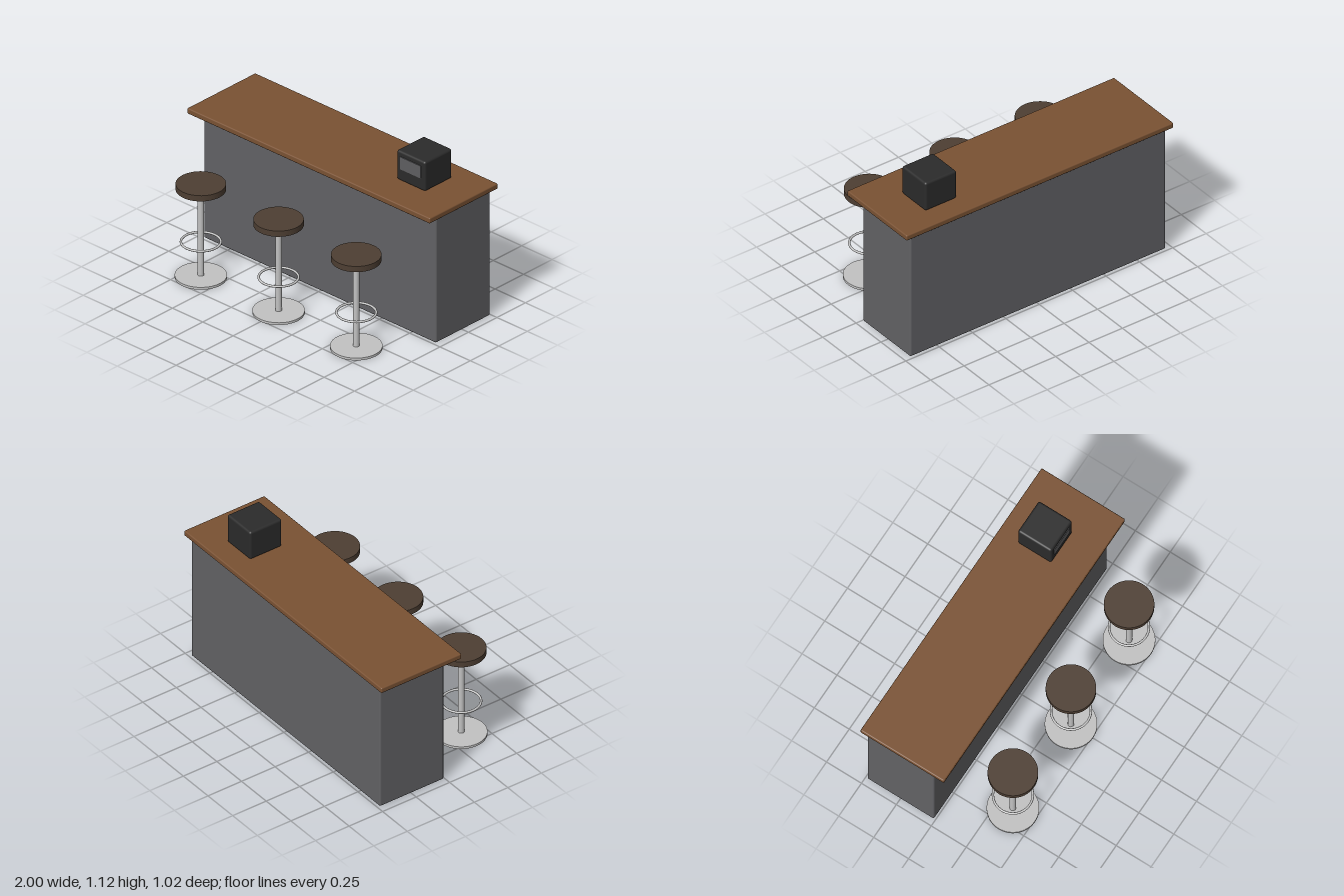
import * as THREE from 'three';
import { RoundedBoxGeometry } from 'three/addons/geometries/RoundedBoxGeometry.js';

const material = (name, color) => {
  const m = new THREE.MeshStandardMaterial({ color });
  m.name = name;
  return m;
};

export function createModel() {
  const grey = material('counterGrey', 0x626265);
  const wood = material('wood', 0x7a5233);
  const darkWood = material('darkWood', 0x4e3f33);
  const metal = material('metal', 0xc2c2c2);
  const black = material('black', 0x2b2b2b);
  const screenGrey = material('screenGrey', 0x5e5e60);

  const add = (parent, name, geometry, mat, x, y, z) => {
    const mesh = new THREE.Mesh(geometry, mat);
    mesh.name = name;
    mesh.position.set(x, y, z);
    parent.add(mesh);
    return mesh;
  };

  // Box with softened edges, given by its extents
  const box = (parent, name, mat, [x0, x1], [y0, y1], [z0, z1], radius) =>
    add(parent, name, new RoundedBoxGeometry(x1 - x0, y1 - y0, z1 - z0, 3, radius), mat,
      (x0 + x1) / 2, (y0 + y1) / 2, (z0 + z1) / 2);

  const model = new THREE.Group();
  model.name = 'barCounterWithStools';

  // Counter body and overhanging top
  box(model, 'counterBody', grey, [-0.957, 0.957], [0.004, 0.88], [-0.488, -0.01], 0.012);
  box(model, 'counterTop', wood, [-1, 1], [0.88, 0.918], [-0.509, 0.09], 0.008);

  // Till with a thin display on its front
  const till = new THREE.Group();
  till.name = 'till';
  box(till, 'tillBody', black, [0.52, 0.755], [0.918, 1.12], [-0.369, -0.13], 0.015);
  add(till, 'tillScreen', new THREE.BoxGeometry(0.167, 0.085, 0.006), screenGrey, 0.637, 1.043, -0.128);
  model.add(till);

  // Three stools in a row
  const cylinder = (radius, height, sides) => new THREE.CylinderGeometry(radius, radius, height, sides);
  for (const x of [-0.64, 0, 0.64]) {
    const stool = new THREE.Group();
    stool.name = 'stool';
    stool.position.set(x, 0, 0.351);
    add(stool, 'stoolBase', cylinder(0.158, 0.016, 48), metal, 0, 0.008, 0);
    add(stool, 'stoolPost', cylinder(0.0195, 0.588, 24), metal, 0, 0.31, 0);
    add(stool, 'footRing', new THREE.TorusGeometry(0.12, 0.0075, 12, 48), metal, 0, 0.243, 0)
      .rotation.x = Math.PI / 2;
    add(stool, 'seat', cylinder(0.152, 0.039, 48), darkWood, 0, 0.6225, 0);
    model.add(stool);
  }

  return model;
}
